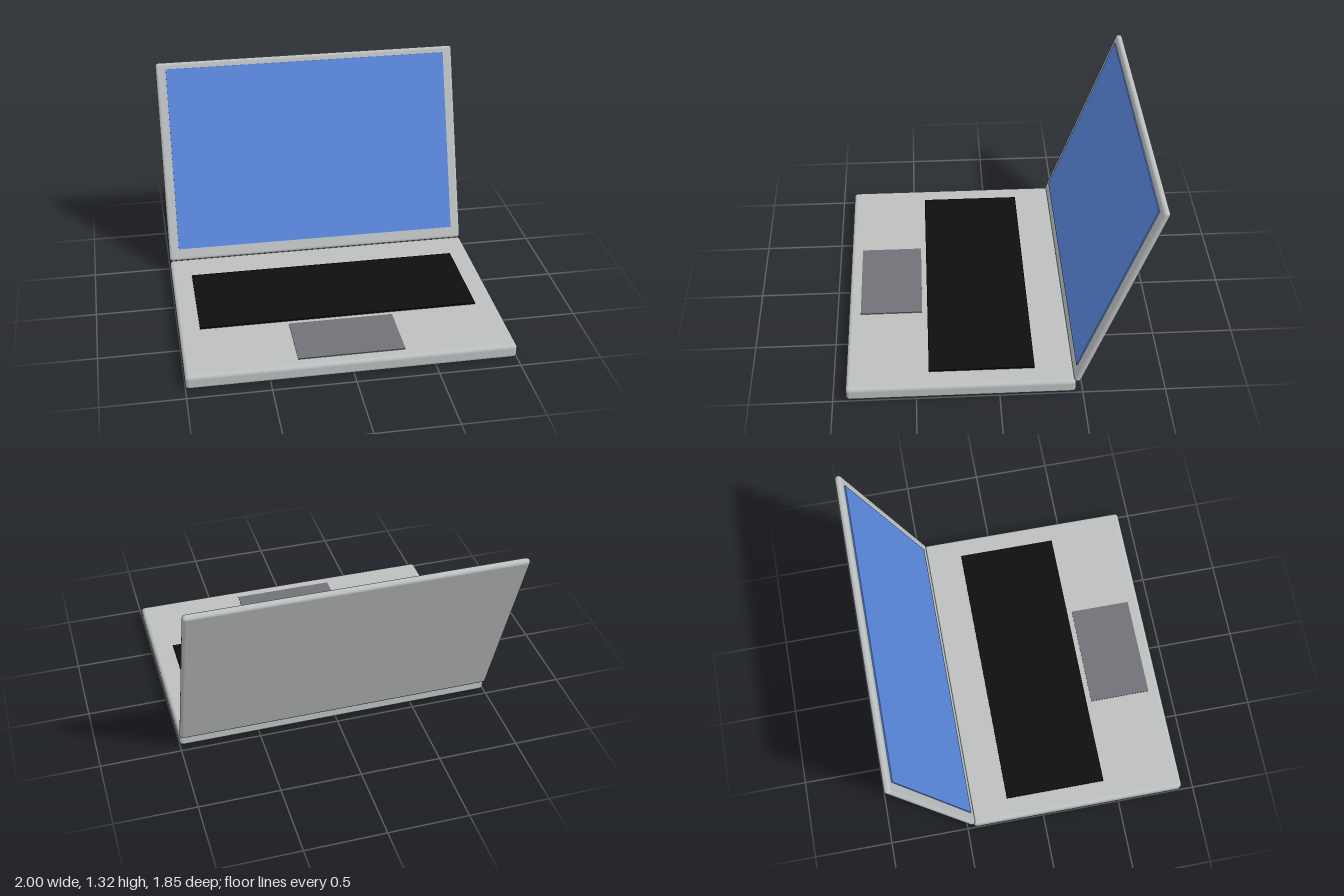
import * as THREE from 'three';
import { RoundedBoxGeometry } from 'three/addons/geometries/RoundedBoxGeometry.js';

const TILT = THREE.MathUtils.degToRad(20);

function material(name, color) {
  const m = new THREE.MeshStandardMaterial({ color });
  m.name = name;
  return m;
}

function part(parent, name, geometry, mat, x, y, z) {
  const mesh = new THREE.Mesh(geometry, mat);
  mesh.name = name;
  mesh.position.set(x, y, z);
  parent.add(mesh);
  return mesh;
}

export function createModel() {
  const silver = material('silver casing', 0xbdc0c0);
  const black = material('black keys', 0x0e0e0e);
  const grey = material('grey trackpad', 0x707279);
  const blue = material('blue display', 0x5a88de);

  const laptop = new THREE.Group();
  laptop.name = 'laptop';

  // Lower body with keyboard and trackpad plates
  part(laptop, 'base', new RoundedBoxGeometry(2, 0.09, 1.38, 4, 0.024), silver, 0, 0.045, 0.23);
  part(laptop, 'keyboard', new THREE.BoxGeometry(1.74, 0.0099, 0.64), black, 0, 0.095, 0.102);
  part(laptop, 'trackpad', new THREE.BoxGeometry(0.65, 0.008, 0.39), grey, 0, 0.09, 0.65);

  // Lid leaning back, with the display on its front
  const lid = new THREE.Group();
  lid.name = 'lid';
  lid.position.set(0, 0.702, -0.687);
  lid.rotation.x = -TILT;
  part(lid, 'lidPanel', new RoundedBoxGeometry(2, 1.322, 0.042, 4, 0.02), silver, 0, 0, 0);
  part(lid, 'screen', new THREE.BoxGeometry(1.87, 1.2, 0.0099), blue, 0, 0.018, 0.0235);
  laptop.add(lid);

  return laptop;
}
